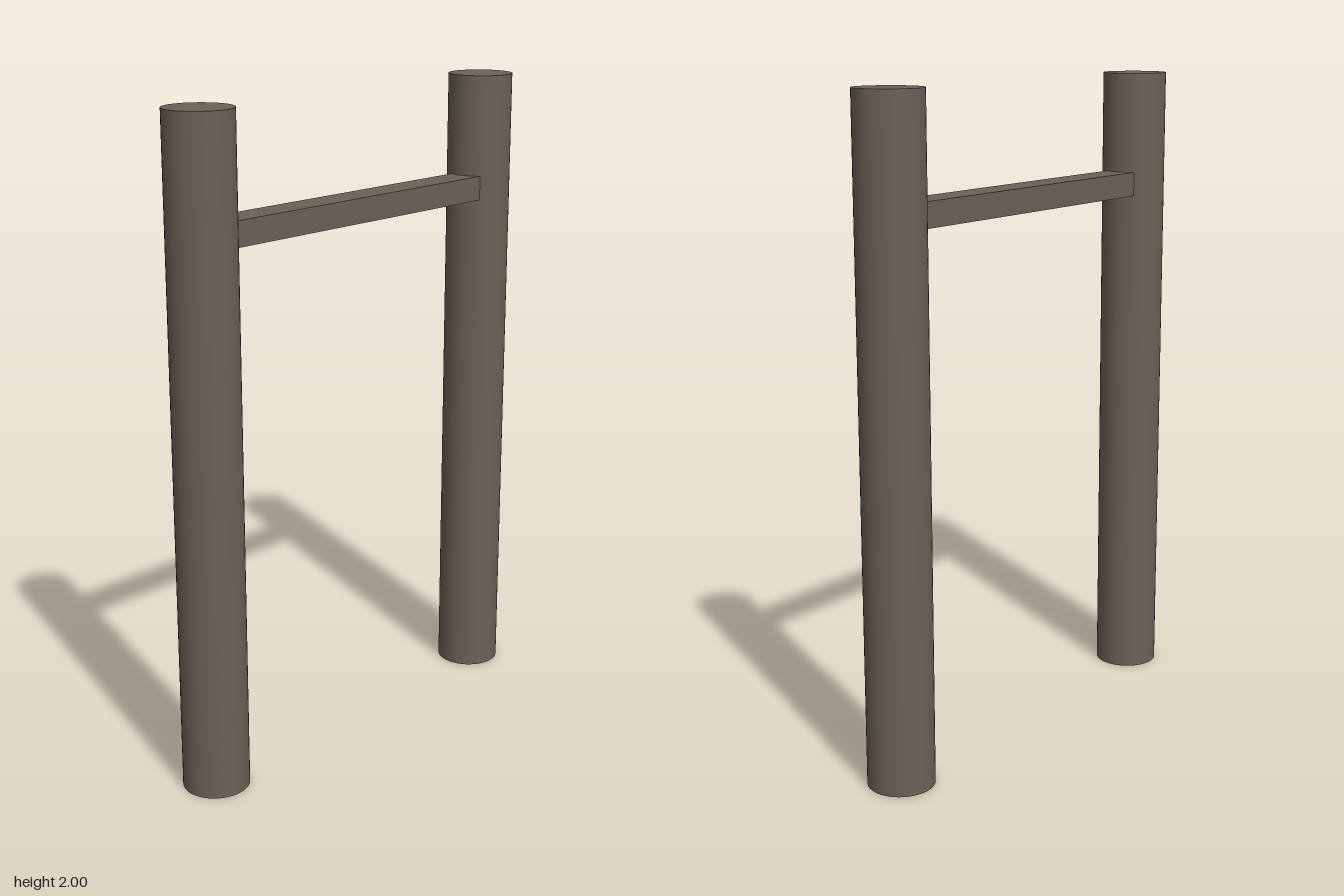
import * as THREE from 'three';

export function createModel() {
  const group = new THREE.Group();
  const wood = new THREE.MeshStandardMaterial({ color: 0x6b6156 });
  wood.name = 'weatheredWood';

  const add = (name, geometry, x, y, z) => {
    const mesh = new THREE.Mesh(geometry, wood);
    mesh.name = name;
    mesh.position.set(x, y, z);
    group.add(mesh);
  };

  // Two round posts, slightly offset from each other sideways
  const post = new THREE.CylinderGeometry(0.1, 0.1, 2, 48);
  add('frontPost', post, 0.013, 1, 0.6);
  add('backPost', post, -0.013, 1, -0.6);

  // Crossbar let into both posts
  add('crossbar', new THREE.BoxGeometry(0.1, 0.075, 1.12), 0.005, 1.652, 0);

  return group;
}
